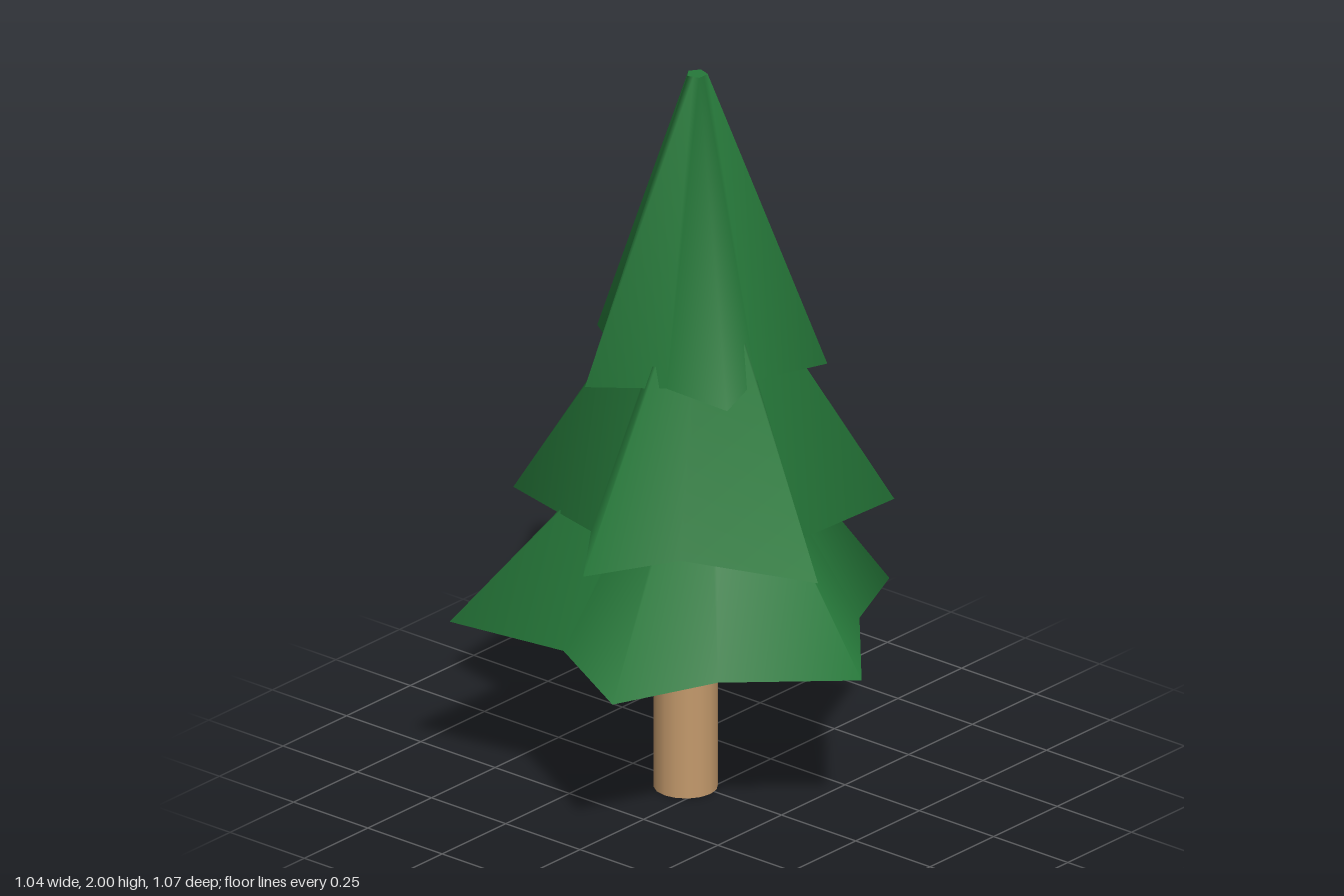
import * as THREE from 'three';

const green = new THREE.MeshStandardMaterial({ color: 0x26793a });
green.name = 'needleGreen';
const brown = new THREE.MeshStandardMaterial({ color: 0xc49a6c });
brown.name = 'barkBrown';

// Mesh from a list of corners and triangle indices, smooth across shared corners
function patch(name, corners, index) {
  const g = new THREE.BufferGeometry();
  g.setAttribute('position', new THREE.Float32BufferAttribute(corners.flat(), 3));
  g.setIndex(index);
  g.computeVertexNormals();
  const mesh = new THREE.Mesh(g, green);
  mesh.name = name;
  return mesh;
}

// Star-based cone: outline holds [x, z] corners, alternating tips and notches
function starTier(name, outline, baseY, topY, [cx, cz], topRadius) {
  const n = outline.length;
  const base = outline.map(([x, z]) => [x, baseY(x, z), z]);
  const top = outline.map(([x, z], i) => {
    const a = Math.atan2(z - cz, x - cx);
    const r = i % 2 ? topRadius * 0.82 : topRadius;
    return [cx + r * Math.cos(a), topY, cz + r * Math.sin(a)];
  });
  const side = [], under = [], over = [];
  for (let i = 0; i < n; i++) {
    const j = (i + 1) % n;
    side.push(i, n + i, j, n + i, n + j, j);
    under.push(n, i, j);
    over.push(n, j, i);
  }
  const tier = new THREE.Group();
  tier.name = name;
  tier.add(
    patch(name + 'Branches', [...base, ...top], side),
    patch(name + 'Underside', [...base, [cx, baseY(cx, cz), cz]], under),
    patch(name + 'Cap', [...top, [cx, topY, cz]], over)
  );
  return tier;
}

export function createModel() {
  const tree = new THREE.Group();
  tree.name = 'pineTree';

  // Trunk
  const trunk = new THREE.Mesh(new THREE.CylinderGeometry(0.083, 0.083, 0.55, 16), brown);
  trunk.name = 'trunk';
  trunk.position.set(-0.057, 0.275, 0.018);
  tree.add(trunk);

  // Lower tier: wide irregular star
  const lower = [
    [0.52, 0], [0.25, 0.25], [0.135, 0.53], [-0.18, 0.355], [-0.52, 0.405],
    [-0.4, 0.04], [-0.43, -0.375], [-0.13, -0.32], [0.155, -0.535], [0.26, -0.295]
  ];
  tree.add(starTier('lowerTier', lower, () => 0.455, 1.17, [0, 0.005], 0.03));

  // Middle tier: slightly tilted star
  const middle = [
    [0.48, 0.125], [0.13, 0.257], [0.015, 0.505], [-0.16, 0.27], [-0.49, 0.19],
    [-0.267, -0.05], [-0.33, -0.38], [-0.07, -0.31], [0.27, -0.42], [0.265, -0.07]
  ];
  tree.add(starTier('middleTier', middle, (x, z) => 0.76 - 0.01 * x + 0.02 * z, 1.56, [-0.01, 0.005], 0.03));

  // Upper tier: regular star
  const upper = [];
  for (let i = 0; i < 10; i++) {
    const a = (i + 1) * Math.PI / 5, r = i % 2 ? 0.2 : 0.335;
    upper.push([-0.025 + r * Math.cos(a), 0.012 + r * Math.sin(a)]);
  }
  tree.add(starTier('upperTier', upper, () => 1.2, 2, [-0.025, 0.012], 0.028));

  return tree;
}
